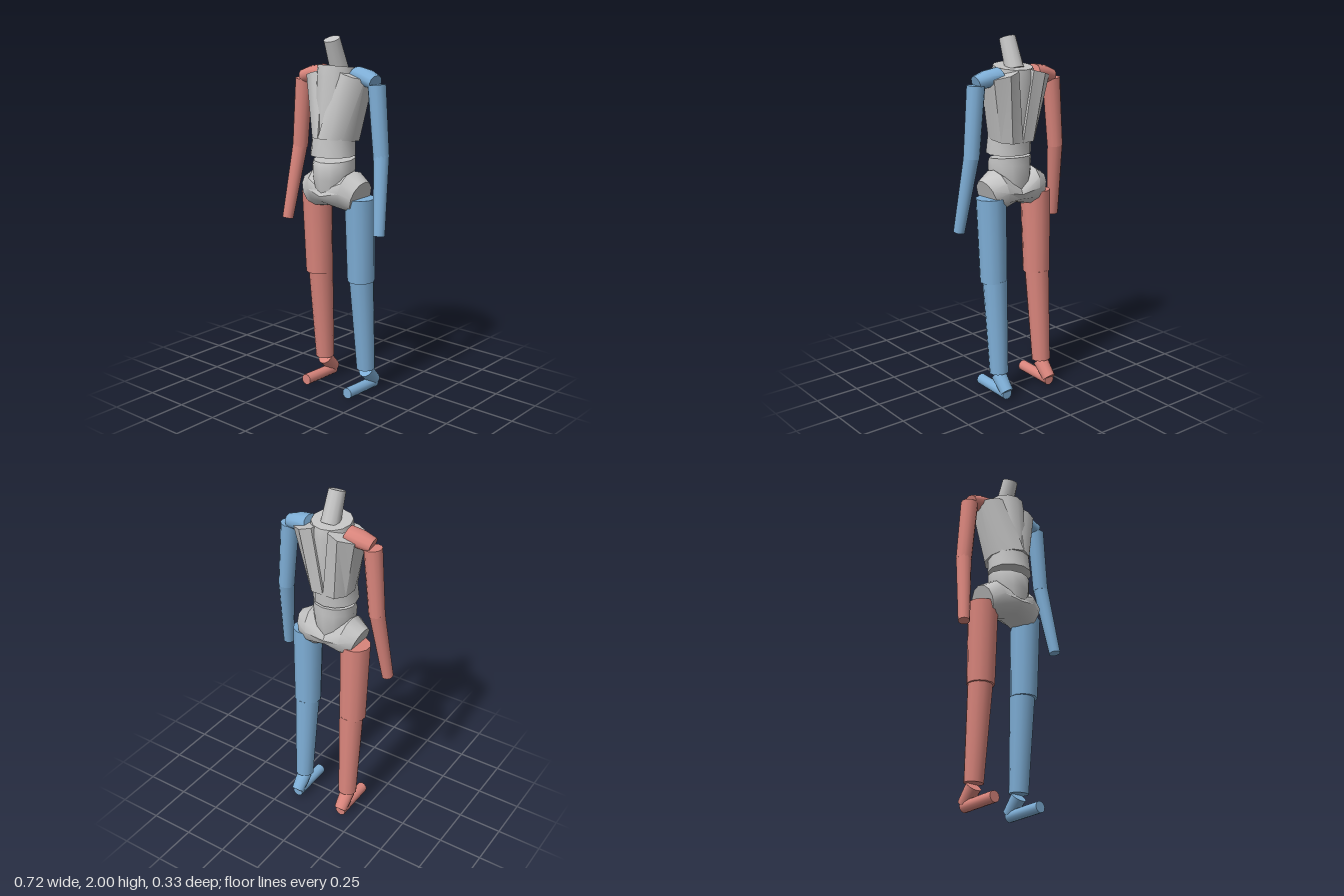
import * as THREE from 'three';
import { toCreasedNormals } from 'three/addons/utils/BufferGeometryUtils.js';

const V = (x, y, z) => new THREE.Vector3(x, y, z);

// Closed skin over a list of rings with equal point counts, capped at both ends
function loft(rings) {
  const tris = [];
  const n = rings[0].length;
  for (let i = 0; i < rings.length - 1; i++) {
    for (let j = 0; j < n; j++) {
      const k = (j + 1) % n;
      const [a, b, c, d] = [rings[i][j], rings[i][k], rings[i + 1][k], rings[i + 1][j]];
      tris.push([a, b, c], [a, c, d]);
    }
  }
  const cap = (ring, flip) => {
    const mid = ring.reduce((m, p) => m.add(p), V(0, 0, 0)).divideScalar(n);
    ring.forEach((p, j) => {
      const q = ring[(j + 1) % n];
      tris.push(flip ? [mid, q, p] : [mid, p, q]);
    });
  };
  cap(rings[0], true);
  cap(rings[rings.length - 1], false);
  // Face outwards: flip everything when the signed volume is negative
  const c0 = rings[0][0];
  const volume = tris.reduce((s, t) => {
    const [a, b, c] = t.map((p) => p.clone().sub(c0));
    return s + a.dot(b.cross(c));
  }, 0);
  if (volume < 0) tris.forEach((t) => t.reverse());
  const geometry = new THREE.BufferGeometry().setFromPoints(tris.flat());
  return toCreasedNormals(geometry, 0.75);
}

// Ellipse spanned by two half-axes
function ellipse(center, u, v, n = 12) {
  return Array.from({ length: n }, (_, i) => {
    const t = (i / n) * Math.PI * 2;
    return center.clone().addScaledVector(u, Math.cos(t)).addScaledVector(v, Math.sin(t));
  });
}

// Horizontal ring; tilt raises its front edge
const level = (y, rx, zBack, zFront, tilt = 0) =>
  ellipse(V(0, y, (zBack + zFront) / 2), V(rx, 0, 0), V(0, tilt, (zFront - zBack) / 2));

export function createModel() {
  const model = new THREE.Group();
  const material = (name, color) => {
    const m = new THREE.MeshStandardMaterial({ color });
    m.name = name;
    return m;
  };
  const gray = material('gray', 0xc4c4c4);
  const blue = material('blue', 0x7eaed6);
  const red = material('red', 0xd9857c);

  const add = (name, geometry, mat) => {
    const mesh = new THREE.Mesh(geometry, mat);
    mesh.name = name;
    model.add(mesh);
    return mesh;
  };
  // Tapered round segment from a to b
  const segment = (name, a, b, ra, rb, mat) => {
    const dir = b.clone().sub(a);
    const mesh = add(name, new THREE.CylinderGeometry(rb, ra, dir.length(), 12), mat);
    mesh.position.copy(a).add(b).multiplyScalar(0.5);
    mesh.quaternion.setFromUnitVectors(V(0, 1, 0), dir.normalize());
    return mesh;
  };

  // Trunk centre
  segment('neck', V(0, 1.82, -0.01), V(0, 1.982, 0.052), 0.052, 0.045, gray);
  add('chestCore', loft([
    level(1.46, 0.09, -0.075, 0.15), level(1.78, 0.115, -0.11, 0.12, 0.01),
    level(1.837, 0.11, -0.1, 0.11, 0.013),
  ]), gray);
  add('waist', loft([
    level(1.365, 0.125, -0.08, 0.167), level(1.46, 0.118, -0.085, 0.155, 0.01),
  ]), gray);
  add('abdomen', loft([
    level(1.17, 0.09, -0.07, 0.145), level(1.24, 0.112, -0.085, 0.157),
    level(1.31, 0.118, -0.085, 0.157), level(1.345, 0.115, -0.085, 0.145, -0.012),
  ]), gray);

  // Rib outlines as [x, z], from the front centre round the outside to the back
  const ribLow = [[0, 0.17], [0.06, 0.145], [0.105, 0.09], [0.125, 0.03],
    [0.115, -0.04], [0.07, -0.085], [0, -0.085], [0, 0]];
  const ribHigh = [[0.05, 0.07], [0.11, 0.085], [0.165, 0.07], [0.2, 0.02],
    [0.185, -0.075], [0.115, -0.127], [0.05, -0.112], [0.03, -0.02]];

  for (const s of [1, -1]) {
    const side = s > 0 ? 'left' : 'right';
    const skin = s > 0 ? blue : red;
    const P = (x, y, z) => V(s * x, y, z);

    add(side + 'Ribs', loft([
      ribLow.map(([x, z]) => P(x, 1.445 + z * 0.12, z)),
      ribHigh.map(([x, z]) => P(x, 1.835 - 0.28 * x, z)),
    ]), gray);

    // Hip, widening outwards then cut off at a slant
    add(side + 'Hip', loft([
      ellipse(P(0, 1.15, 0.035), P(0, 0.06, 0), V(0, 0, 0.12)),
      ellipse(P(0.105, 1.175, 0.015), P(0.018, 0.11, 0), V(0, 0, 0.118)),
      ellipse(P(0.17, 1.147, 0.015), P(0.032, 0.088, 0), V(0, 0, 0.085)),
    ]), gray);

    // Arm
    const along = P(0.95, -0.3, 0.1).normalize();
    const up = P(0.3, 0.95, 0).normalize();
    const depth = along.clone().cross(up).normalize();
    const shoulderRing = (c, h, d) =>
      ellipse(c, up.clone().multiplyScalar(h), depth.clone().multiplyScalar(d));
    add(side + 'Shoulder', loft([
      shoulderRing(P(0.112, 1.805, -0.022), 0.038, 0.056),
      shoulderRing(P(0.185, 1.785, -0.015), 0.046, 0.058),
      shoulderRing(P(0.25, 1.765, -0.005), 0.04, 0.045),
    ]), skin);
    segment(side + 'UpperArm', P(0.254, 1.755, -0.01), P(0.287, 1.375, -0.01), 0.049, 0.044, skin);
    segment(side + 'Forearm', P(0.287, 1.385, -0.01), P(0.328, 0.966, 0.055), 0.043, 0.032, skin);

    // Leg
    segment(side + 'Thigh', P(0.154, 1.14, 0), P(0.152, 0.67, -0.016), 0.084, 0.076, skin);
    segment(side + 'Shin', P(0.149, 0.675, -0.024), P(0.153, 0.14, -0.063), 0.069, 0.053, skin);
    segment(side + 'Ankle', P(0.153, 0.125, -0.062), P(0.153, 0.045, -0.138), 0.043, 0.037, skin);
    segment(side + 'Foot', P(0.153, 0.032, -0.14), P(0.153, 0.037, 0.105), 0.031, 0.031, skin);
  }
  return model;
}
